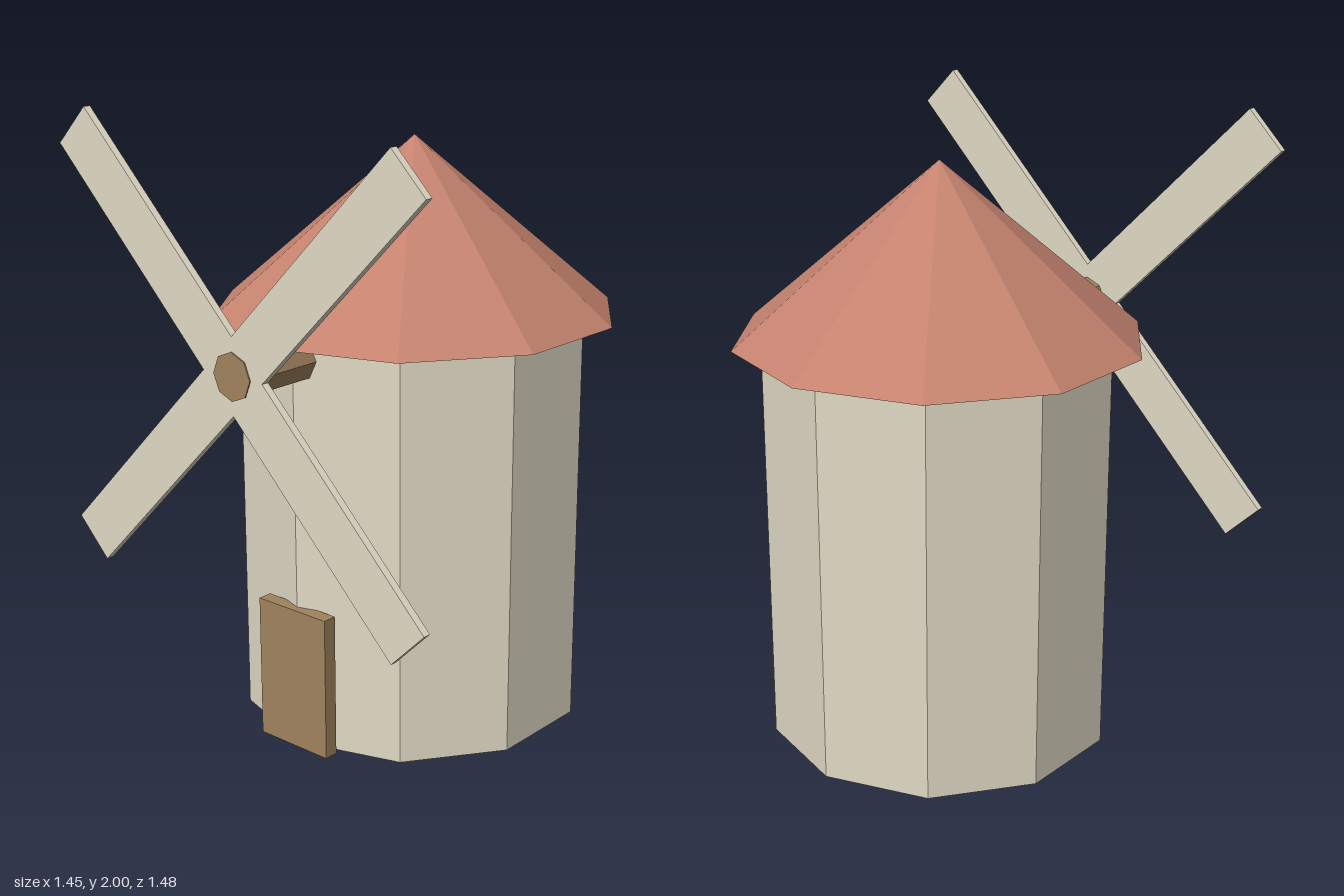
import * as THREE from 'three';

export function createModel() {
  const model = new THREE.Group();
  model.name = 'windmill';

  const flat = (name, color) => {
    const m = new THREE.MeshStandardMaterial({ color, flatShading: true });
    m.name = name;
    return m;
  };
  const cream = flat('cream', 0xe0d9c5);
  const terracotta = flat('terracotta', 0xc4826e);
  const wood = flat('wood', 0xa0835d);

  const add = (name, geometry, material, x, y, z) => {
    const mesh = new THREE.Mesh(geometry, material);
    mesh.name = name;
    mesh.position.set(x, y, z);
    model.add(mesh);
    return mesh;
  };

  const axisZ = -0.079; // tower axis
  const wallHeight = 1.325;
  const hubY = 1.275;

  // Ten-sided tower and roof, one corner facing the front
  add('tower', new THREE.CylinderGeometry(0.565, 0.565, wallHeight, 10), cream, 0, wallHeight / 2, axisZ);
  add('roof', new THREE.ConeGeometry(0.658, 0.56, 10), terracotta, 0, wallHeight + 0.28, axisZ);

  // Door slab
  add('door', new THREE.BoxGeometry(0.28, 0.47, 0.047), wood, 0, 0.235, 0.4875);

  // Octagonal axle running from inside the wall through the sails
  const axle = new THREE.CylinderGeometry(0.075, 0.075, 0.3, 8);
  axle.rotateX(Math.PI / 2);
  add('axle', axle, wood, 0, hubY, 0.59);

  // Four sails as one cross-shaped plate
  const half = 0.085;
  const reach = 0.94;
  const corners = [];
  for (let i = 0; i < 4; i++) {
    for (const [x, y] of [[half, -half], [reach, -half], [reach, half]]) {
      corners.push(new THREE.Vector2(x, y).rotateAround(new THREE.Vector2(), i * Math.PI / 2));
    }
  }
  const cross = new THREE.ExtrudeGeometry(new THREE.Shape(corners), { depth: 0.025, bevelEnabled: false });
  add('sails', cross, cream, 0, hubY, 0.711).rotation.z = Math.PI / 4;

  return model;
}
